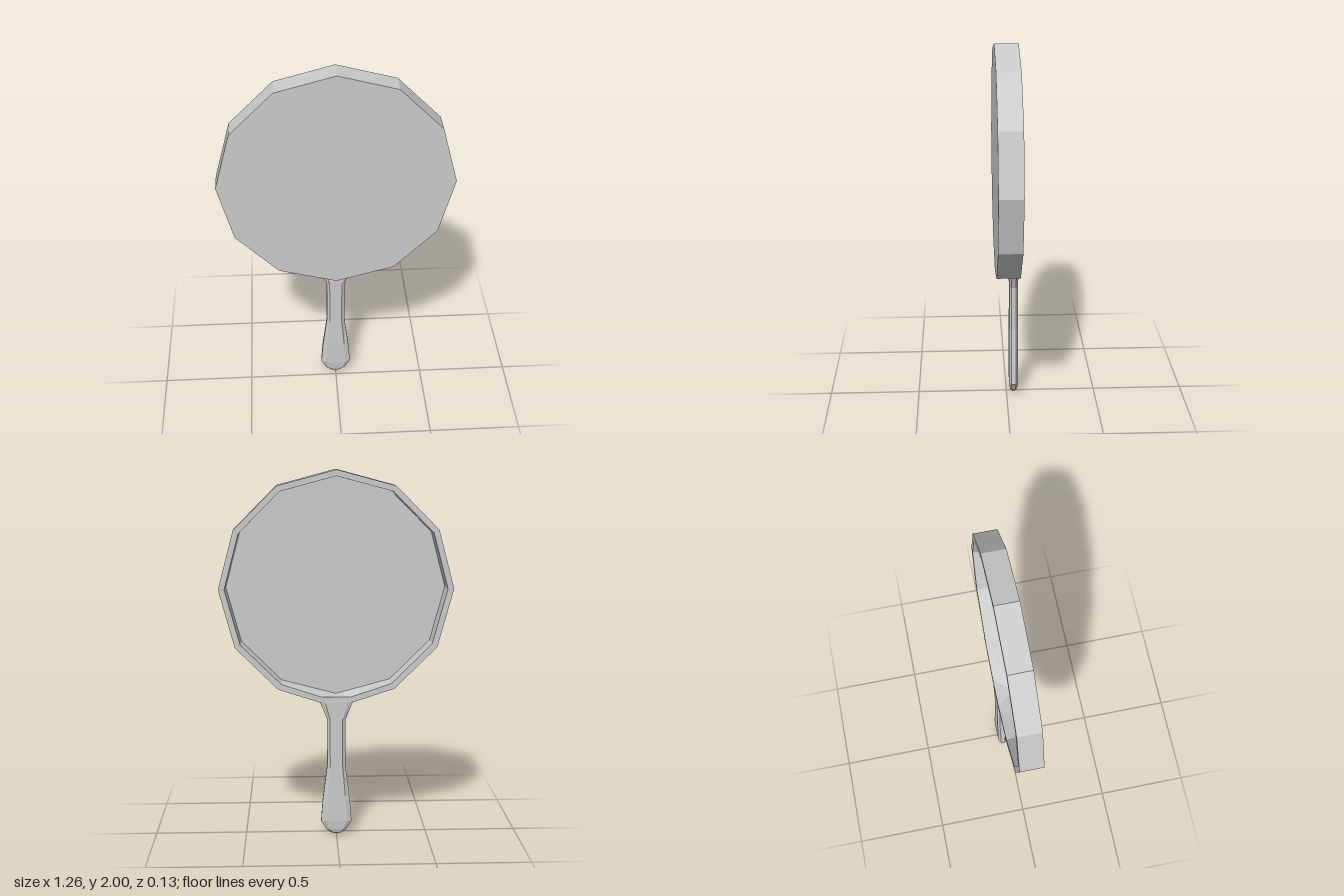
import * as THREE from 'three';

const material = new THREE.MeshStandardMaterial({ color: 0xcccccc, flatShading: true });

// Skins a sequence of closed rings that have equal point counts
function loft(name, rings) {
  const n = rings[0].length;
  const index = [];
  for (let r = 0; r < rings.length - 1; r++) {
    for (let i = 0; i < n; i++) {
      const j = (i + 1) % n;
      const a = r * n + i, a2 = r * n + j, b = a + n, b2 = a2 + n;
      index.push(a, b, a2, a2, b, b2);
    }
  }
  const indexed = new THREE.BufferGeometry();
  indexed.setAttribute('position', new THREE.Float32BufferAttribute(rings.flat(2), 3));
  indexed.setIndex(index);
  const geometry = indexed.toNonIndexed();
  geometry.computeVertexNormals();
  const mesh = new THREE.Mesh(geometry, material);
  mesh.name = name;
  return mesh;
}

const CENTRE = 1.374;

// Twelve-sided ring; its lowest corner may be split in two to meet the handle
function panRing(radius, z, splitX = 0, splitY = CENTRE - radius) {
  const ring = [[splitX, splitY, z]];
  for (let k = 1; k < 12; k++) {
    const a = -Math.PI / 2 + (k * Math.PI) / 6;
    ring.push([radius * Math.cos(a), CENTRE + radius * Math.sin(a), z]);
  }
  ring.push([-splitX, splitY, z]);
  return ring;
}

// Eight-sided handle section: half width w, half depth d
function handleRing([y, w, d]) {
  const quarter = [[1, 0.5], [0.68, 1]];
  const [p, q] = quarter;
  const outline = [
    [p[0], -p[1]], p, q, [-q[0], q[1]],
    [-p[0], p[1]], [-p[0], -p[1]], [-q[0], -q[1]], [q[0], -q[1]],
  ];
  return outline.map(([x, z]) => [x * w, y, -0.039 + z * d]);
}

export function createModel() {
  const group = new THREE.Group();
  group.name = 'fryingPan';

  // Pan: outer base, side wall, rim, inner wall and cooking surface
  group.add(loft('pan', [
    panRing(0, 0.063),
    panRing(0.628, 0.063),
    panRing(0.628, -0.063, 0.09, 0.757),
    panRing(0.595, -0.063, 0.08, 0.787),
    panRing(0.592, 0.043),
    panRing(0, 0.043),
  ]));

  // Handle: rounded grip, slim neck and flare into the rim
  const sections = [
    [0, 0, 0],
    [0.008, 0.025, 0.012],
    [0.03, 0.055, 0.02],
    [0.08, 0.084, 0.025],
    [0.2, 0.075, 0.025],
    [0.4, 0.05, 0.024],
    [0.66, 0.05, 0.024],
    [0.757, 0.09, 0.025],
    [0.77, 0.09, 0.024],
    [0.77, 0, 0],
  ];
  group.add(loft('handle', sections.map(handleRing)));

  return group;
}
